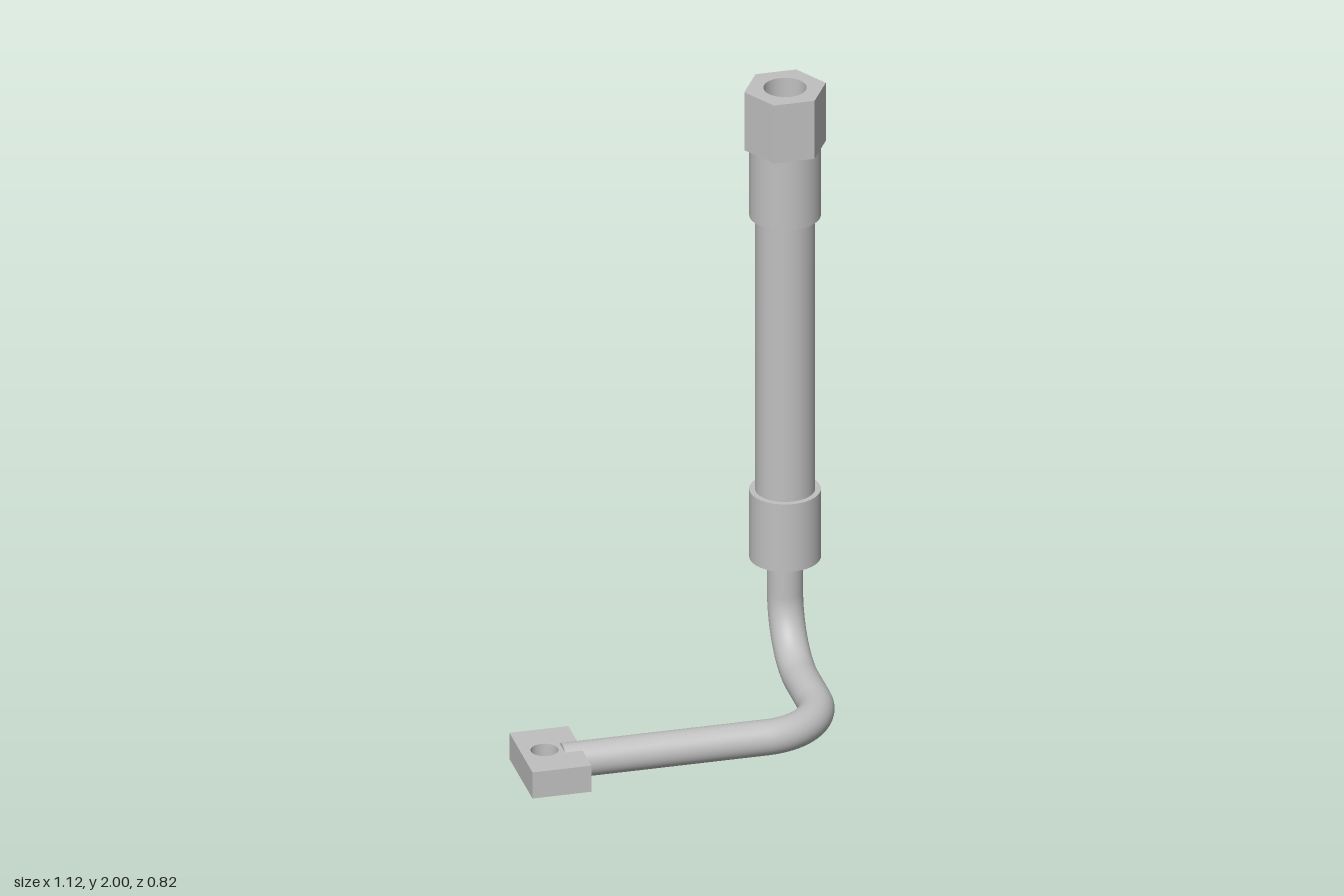
import * as THREE from 'three';

const V = (x, y, z) => new THREE.Vector3(x, y, z);
const AX = 0.428, AZ = -0.299; // axis of the upright hose
const R = 0.056;               // pipe radius, also its height above the ground

// Upright extrusion of a shape drawn in x and -z
function plate(shape, height, x, y, z) {
  const g = new THREE.ExtrudeGeometry(shape, { depth: height, bevelEnabled: false, curveSegments: 32 });
  return g.rotateX(-Math.PI / 2).translate(x, y, z);
}

function addHole(shape, x, y, r) {
  const hole = new THREE.Path();
  hole.absarc(x, y, r, 0, Math.PI * 2, true);
  shape.holes.push(hole);
  return shape;
}

// Quarter-circle bend from a to b around a corner
function bend(a, corner, b) {
  const k = 0.5523;
  return new THREE.CubicBezierCurve3(a, a.clone().lerp(corner, k), b.clone().lerp(corner, k), b);
}

export function createModel() {
  const group = new THREE.Group();
  const steel = new THREE.MeshStandardMaterial({ color: 0xc0c0c0 });
  steel.name = 'steel grey';
  const add = (name, geometry) => {
    const mesh = new THREE.Mesh(geometry, steel);
    mesh.name = name;
    group.add(mesh);
    return mesh;
  };
  const upright = (name, r, y0, y1) =>
    add(name, new THREE.CylinderGeometry(r, r, y1 - y0, 64).translate(AX, (y0 + y1) / 2, AZ));

  // Bent pipe: along x, round to -z, then up into the lower collar
  const PZ = 0.267, B = 0.207;
  const start = V(-0.43, R, PZ);
  const a1 = V(AX - B, R, PZ), b1 = V(AX, R, PZ - B);
  const a2 = V(AX, R, AZ + B), b2 = V(AX, R + B, AZ);
  const path = new THREE.CurvePath();
  path.add(new THREE.LineCurve3(start, a1));
  path.add(bend(a1, V(AX, R, PZ), b1));
  path.add(new THREE.LineCurve3(b1, a2));
  path.add(bend(a2, V(AX, R, AZ), b2));
  path.add(new THREE.LineCurve3(b2, V(AX, 0.4, AZ)));
  add('bentPipe', new THREE.TubeGeometry(path, 160, R, 40));
  add('pipeEnd', new THREE.CircleGeometry(R, 40).rotateY(-Math.PI / 2).translate(start.x, R, PZ));

  // Mounting block with a bolt hole, slightly thinner than the pipe
  const block = new THREE.Shape([[-0.094, -0.142], [0.094, -0.142], [0.094, 0.142], [-0.094, 0.142]]
    .map(([x, y]) => new THREE.Vector2(x, y)));
  add('mountingBlock', plate(addHole(block, -0.019, 0, 0.043), 0.09, -0.468, 0.011, PZ));

  // Hose and its two crimp collars
  upright('lowerCollar', 0.111, 0.383, 0.616);
  upright('hose', 0.093, 0.6, 1.58);
  upright('upperCollar', 0.111, 1.562, 1.8);

  // Hexagonal nut, open at the top
  const hex = new THREE.Shape(Array.from({ length: 6 }, (_, i) =>
    new THREE.Vector2(0.13 * Math.cos(i * Math.PI / 3), 0.13 * Math.sin(i * Math.PI / 3))));
  add('hexNut', plate(addHole(hex, 0, 0, 0.067), 0.2, AX, 1.8, AZ));

  return group;
}
